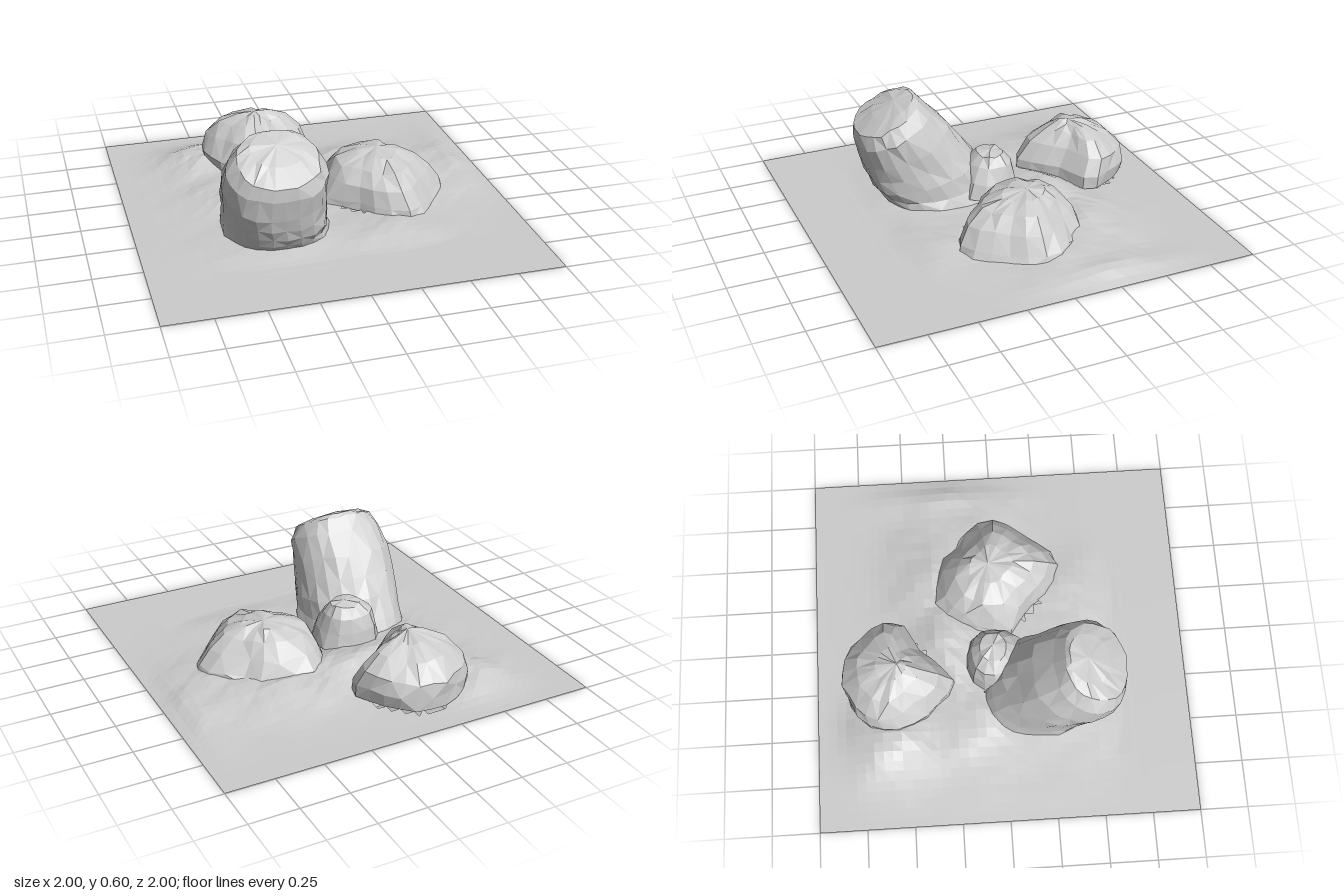
import * as THREE from 'three';

const stone = new THREE.MeshStandardMaterial({ color: 0xcccccc, flatShading: true, side: THREE.DoubleSide });

// repeatable roughness from a position, -0.5..0.5
function rough(a, b, c) {
  const s = Math.sin(a * 127.1 + b * 311.7 + c * 74.7) * 43758.5453;
  return s - Math.floor(s) - 0.5;
}

// smooth closed outline, sampled evenly around
function smoothLoop(points, count) {
  const curve = new THREE.CatmullRomCurve3(points.map(([x, z]) => new THREE.Vector3(x, 0, z)), true);
  return curve.getSpacedPoints(count).slice(0, count);
}

// boulder: an outline lofted through rings [cx, cy, cz, scaleX, scaleZ, slope of y along z], closed by an apex
function makeRock(name, outline, rings, apex, jitter, sides = 22) {
  const loop = smoothLoop(outline, sides);
  const pos = [], index = [];
  rings.forEach(([cx, cy, cz, sx, sz, slope], r) => loop.forEach((p, i) => {
    const k = 1 + rough(i, r, sides) * jitter;
    const dx = p.x * sx * k, dz = p.z * sz * k;
    pos.push(cx + dx, cy + dz * slope + rough(r, i, 3) * jitter * 0.2, cz + dz);
  }));
  pos.push(...apex);
  const top = rings.length * sides;
  for (let r = 0; r < rings.length; r++) {
    for (let i = 0; i < sides; i++) {
      const j = (i + 1) % sides, a = r * sides + i, b = r * sides + j;
      if (r === rings.length - 1) index.push(a, b, top);
      else if ((i + r) % 2) index.push(a, b, b + sides, a, b + sides, a + sides);
      else index.push(a, b, a + sides, b, b + sides, a + sides);
    }
  }
  const geo = new THREE.BufferGeometry();
  geo.setAttribute('position', new THREE.Float32BufferAttribute(pos, 3));
  geo.setIndex(index);
  geo.computeVertexNormals();
  const mesh = new THREE.Mesh(geo, stone);
  mesh.name = name;
  return mesh;
}

// slightly squared unit circle, counter-clockwise seen from above
const roundOutline = Array.from({ length: 12 }, (_, i) => {
  const a = -i / 12 * Math.PI * 2;
  const f = v => Math.sign(v) * Math.pow(Math.abs(v), 0.85);
  return [f(Math.cos(a)), f(Math.sin(a))];
});

const sideOutline = [[-0.31, 0.09], [-0.16, 0.22], [-0.06, 0.33], [0.12, 0.37], [0.26, 0.2],
  [0.37, 0], [0.22, -0.18], [0.09, -0.3], [-0.18, -0.3], [-0.3, -0.13]];
const backOutline = [[-0.3, 0.03], [-0.28, -0.12], [-0.18, -0.22], [-0.05, -0.28], [0.12, -0.27],
  [0.2, -0.2], [0.29, -0.07], [0.31, 0.04], [0.14, 0.15], [-0.06, 0.32], [-0.22, 0.16]].reverse();

// soft mounds of the ground: x, z, height, radius x, radius z
const mounds = [
  [-0.52, -0.62, 0.075, 0.2, 0.24], [0.9, -0.3, 0.035, 0.13, 0.32], [0.3, 0.42, 0.03, 0.24, 0.2],
  [0.35, -0.38, 0.06, 0.3, 0.2], [-0.02, -0.28, 0.08, 0.2, 0.16], [-0.4, -0.15, 0.05, 0.25, 0.2],
  [-0.3, 0.35, 0.03, 0.32, 0.3], [0.65, -0.1, 0.04, 0.22, 0.28], [0, -0.1, 0.015, 1.1, 0.8],
];

function groundHeight(x, z) {
  let y = -0.004;
  for (const [mx, mz, h, rx, rz] of mounds) {
    y += h * Math.exp(-(((x - mx) / rx) ** 2) - ((z - mz) / rz) ** 2);
  }
  y *= 1 + 0.12 * Math.sin(x * 17 + z * 5) * Math.sin(z * 21) + 0.12 * rough(x, z, 1);
  const edge = Math.min(1, (1 - Math.abs(x)) / 0.12, Math.max(0, 0.68 - z) / 0.16, (z + 0.98) / 0.2);
  return Math.max(0, y * edge);
}

// gridded sheet with elliptical openings [x, z, radius x, radius z]
function makeSheet(name, width, depth, cells, height, openings) {
  const geo = new THREE.PlaneGeometry(width, depth, cells, cells).rotateX(-Math.PI / 2);
  const p = geo.attributes.position;
  for (let i = 0; i < p.count; i++) p.setY(i, height(p.getX(i), p.getZ(i)));
  const kept = [], src = geo.index.array;
  for (let t = 0; t < src.length; t += 3) {
    const tri = [src[t], src[t + 1], src[t + 2]];
    const x = tri.reduce((s, i) => s + p.getX(i) / 3, 0);
    const z = tri.reduce((s, i) => s + p.getZ(i) / 3, 0);
    if (!openings.some(([ox, oz, rx, rz]) => ((x - ox) / rx) ** 2 + ((z - oz) / rz) ** 2 < 1)) kept.push(...tri);
  }
  geo.setIndex(kept);
  geo.computeVertexNormals();
  const mesh = new THREE.Mesh(geo, stone);
  mesh.name = name;
  return mesh;
}

export function createModel() {
  const group = new THREE.Group();
  group.name = 'boulders';

  // uneven ground, open beneath the boulders
  group.add(makeSheet('ground', 2, 2, 40, groundHeight,
    [[-0.28, 0.2, 0.24, 0.27], [0.36, 0, 0.27, 0.26], [-0.2, -0.61, 0.25, 0.23], [-0.13, -0.02, 0.13, 0.12]]));

  // flat inner sheet under the mounds, with smaller openings
  group.add(makeSheet('innerSheet', 1.36, 1.36, 32, () => 0.003,
    [[-0.28, 0.2, 0.22, 0.25], [0.36, 0, 0.22, 0.2]]));

  // tall boulder leaning towards the front, with a slanted top
  group.add(makeRock('leaningBoulder', roundOutline, [
    [-0.275, 0.02, 0.2, 0.28, 0.31, 0],
    [-0.285, 0.08, 0.235, 0.265, 0.3, -0.1],
    [-0.29, 0.16, 0.285, 0.265, 0.28, -0.2],
    [-0.305, 0.24, 0.335, 0.265, 0.255, -0.3],
    [-0.315, 0.33, 0.385, 0.265, 0.23, -0.4],
    [-0.315, 0.44, 0.45, 0.25, 0.193, -0.45],
    [-0.315, 0.505, 0.475, 0.205, 0.163, -0.5],
    [-0.31, 0.545, 0.44, 0.13, 0.105, -0.5],
  ], [-0.31, 0.566, 0.43], 0.06, 24));

  // low wide boulder at the left, easing into the ground behind
  group.add(makeRock('sideBoulder', sideOutline, [
    [0.36, 0.025, -0.02, 1, 1, -0.06],
    [0.355, 0.06, -0.02, 0.96, 0.97, -0.03],
    [0.34, 0.14, -0.02, 0.8, 0.83, 0],
    [0.335, 0.21, -0.02, 0.62, 0.6, 0],
    [0.35, 0.253, -0.03, 0.33, 0.34, 0],
  ], [0.36, 0.268, -0.04], 0.09));

  // back boulder with a steep, blunt rear
  group.add(makeRock('backBoulder', backOutline, [
    [-0.2, 0.035, -0.57, 0.97, 0.97, 0.05],
    [-0.2, 0.1, -0.575, 1, 0.99, 0.02],
    [-0.2, 0.185, -0.61, 0.87, 0.85, 0.1],
    [-0.2, 0.258, -0.61, 0.62, 0.55, 0.12],
    [-0.2, 0.303, -0.585, 0.3, 0.27, 0.15],
  ], [-0.2, 0.325, -0.55], 0.08));

  // small boulder tucked behind the leaning one
  group.add(makeRock('smallBoulder', roundOutline, [
    [-0.13, 0.045, -0.02, 0.18, 0.17, 0],
    [-0.13, 0.13, -0.03, 0.16, 0.145, 0],
    [-0.13, 0.21, -0.04, 0.13, 0.115, 0],
    [-0.12, 0.26, -0.04, 0.08, 0.07, 0],
  ], [-0.11, 0.275, -0.04], 0.08, 14));

  return group;
}
